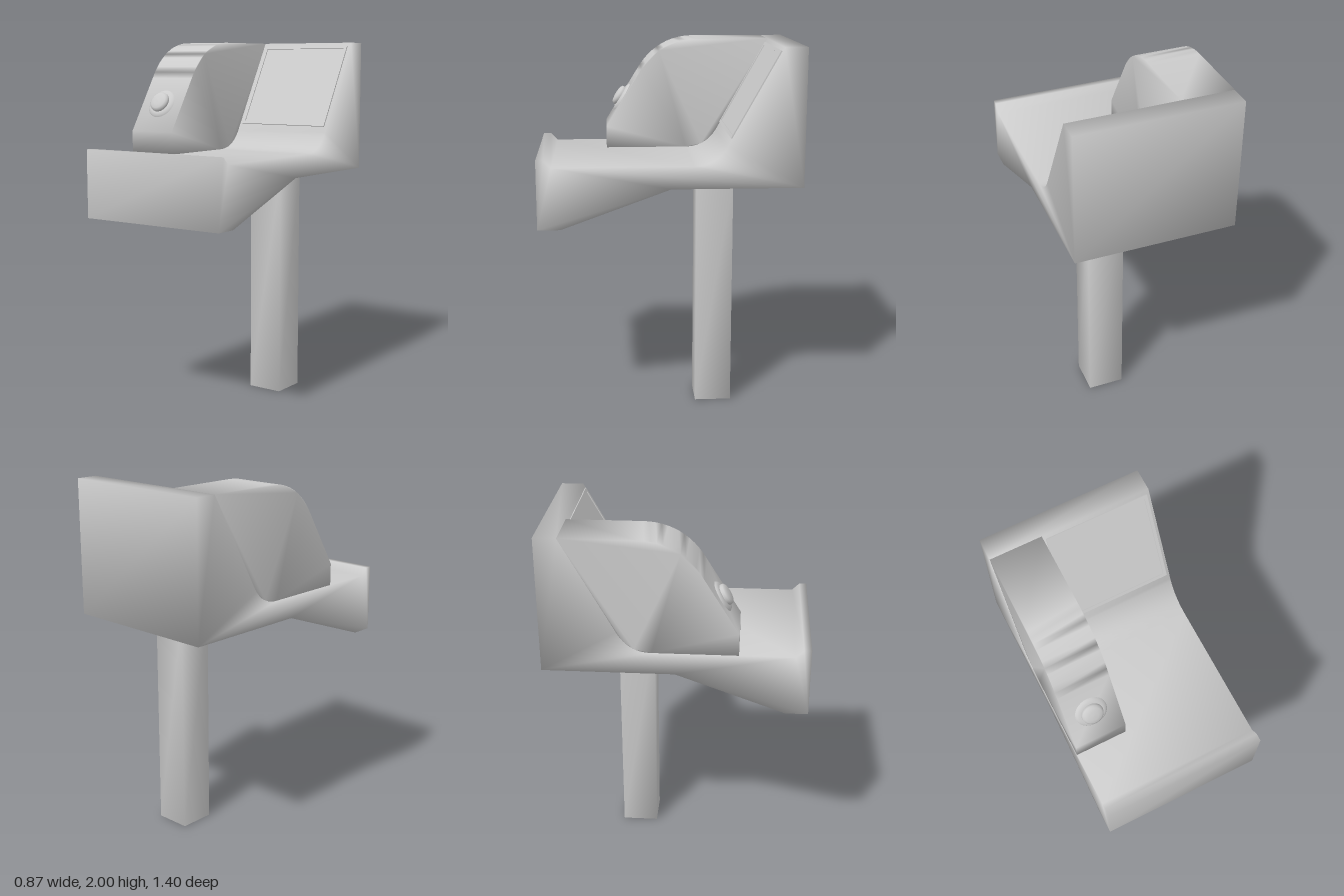
import * as THREE from 'three';
import { mergeVertices } from 'three/addons/utils/BufferGeometryUtils.js';

const grey = new THREE.MeshStandardMaterial({ color: 0xcccccc });

function addMesh(parent, name, geometry) {
  const mesh = new THREE.Mesh(geometry, grey);
  mesh.name = name;
  parent.add(mesh);
  return mesh;
}

// Shares corners so that shading flows softly across the edges
function soften(geometry) {
  geometry.deleteAttribute('uv');
  geometry.deleteAttribute('normal');
  const merged = mergeVertices(geometry, 1e-4);
  merged.computeVertexNormals();
  return merged;
}

// Extrudes a side profile drawn in (z, y) from x0 to x1
function extrudeSide(shape, x0, x1) {
  const g = new THREE.ExtrudeGeometry(shape, { depth: x1 - x0, bevelEnabled: false, curveSegments: 12 });
  g.rotateY(-Math.PI / 2);
  g.translate(x1, 0, 0);
  return soften(g);
}

function rectangle(target, w, h) {
  target.moveTo(-w / 2, -h / 2);
  target.lineTo(w / 2, -h / 2);
  target.lineTo(w / 2, h / 2);
  target.lineTo(-w / 2, h / 2);
  target.closePath();
  return target;
}

export function createModel() {
  const model = new THREE.Group();
  model.name = 'console';

  // Square post
  const post = addMesh(model, 'post', soften(new THREE.BoxGeometry(0.2, 1.27, 0.2)));
  post.position.set(0.14, 0.635, -0.25);

  // Body: sloping back wall, flat tray and raised front lip
  const body = new THREE.Shape();
  body.moveTo(-0.7, 1.27);
  body.lineTo(0, 1.27);
  body.lineTo(0.58, 1.06);
  body.lineTo(0.7, 1.06);
  body.lineTo(0.7, 1.43);
  body.lineTo(0.66, 1.43);
  body.lineTo(0.62, 1.39);
  body.lineTo(-0.12, 1.39);
  body.quadraticCurveTo(-0.24, 1.39, -0.3, 1.5);
  body.lineTo(-0.58, 2);
  body.lineTo(-0.7, 2);
  body.closePath();
  addMesh(model, 'body', extrudeSide(body, -0.436, 0.436));

  // Side block that fills the corner between tray and back wall
  const side = new THREE.Shape();
  side.moveTo(-0.12, 1.39);
  side.lineTo(0.33, 1.39);
  side.lineTo(0.33, 1.51);
  side.lineTo(0.15, 1.8);
  side.bezierCurveTo(0.07, 1.94, -0.05, 2, -0.18, 2);
  side.lineTo(-0.58, 2);
  side.lineTo(-0.3, 1.5);
  side.quadraticCurveTo(-0.24, 1.39, -0.12, 1.39);
  addMesh(model, 'sideBlock', extrudeSide(side, -0.436, -0.155));

  // Screen with a thin frame on the sloping wall
  const screen = new THREE.Group();
  screen.name = 'screen';
  screen.position.set(0.14, 1.755, -0.443);
  screen.rotation.x = -Math.atan2(0.28, 0.5);
  model.add(screen);
  const frame = rectangle(new THREE.Shape(), 0.56, 0.515);
  frame.holes.push(rectangle(new THREE.Path(), 0.525, 0.48));
  addMesh(screen, 'screenFrame', new THREE.ExtrudeGeometry(frame, { depth: 0.007, bevelEnabled: false }));
  const panel = addMesh(screen, 'screenPanel', new THREE.PlaneGeometry(0.525, 0.48));
  panel.position.z = 0.002;

  // Round push button with a flared collar on the front slope of the side block
  const button = new THREE.Group();
  button.name = 'button';
  button.position.set(-0.3, 1.66, 0.237);
  button.rotation.x = Math.atan2(0.29, 0.18);
  model.add(button);
  const lathe = (points) =>
    new THREE.LatheGeometry(points.map(([r, h]) => new THREE.Vector2(r, h)), 32);
  addMesh(button, 'buttonCollar', lathe([[0.085, 0], [0.078, 0.008], [0.064, 0.013], [0.05, 0.013]]));
  addMesh(button, 'buttonCap', lathe([[0.055, 0], [0.058, 0.018], [0.056, 0.029], [0.046, 0.037], [0.025, 0.041], [0, 0.042]]));

  return model;
}
